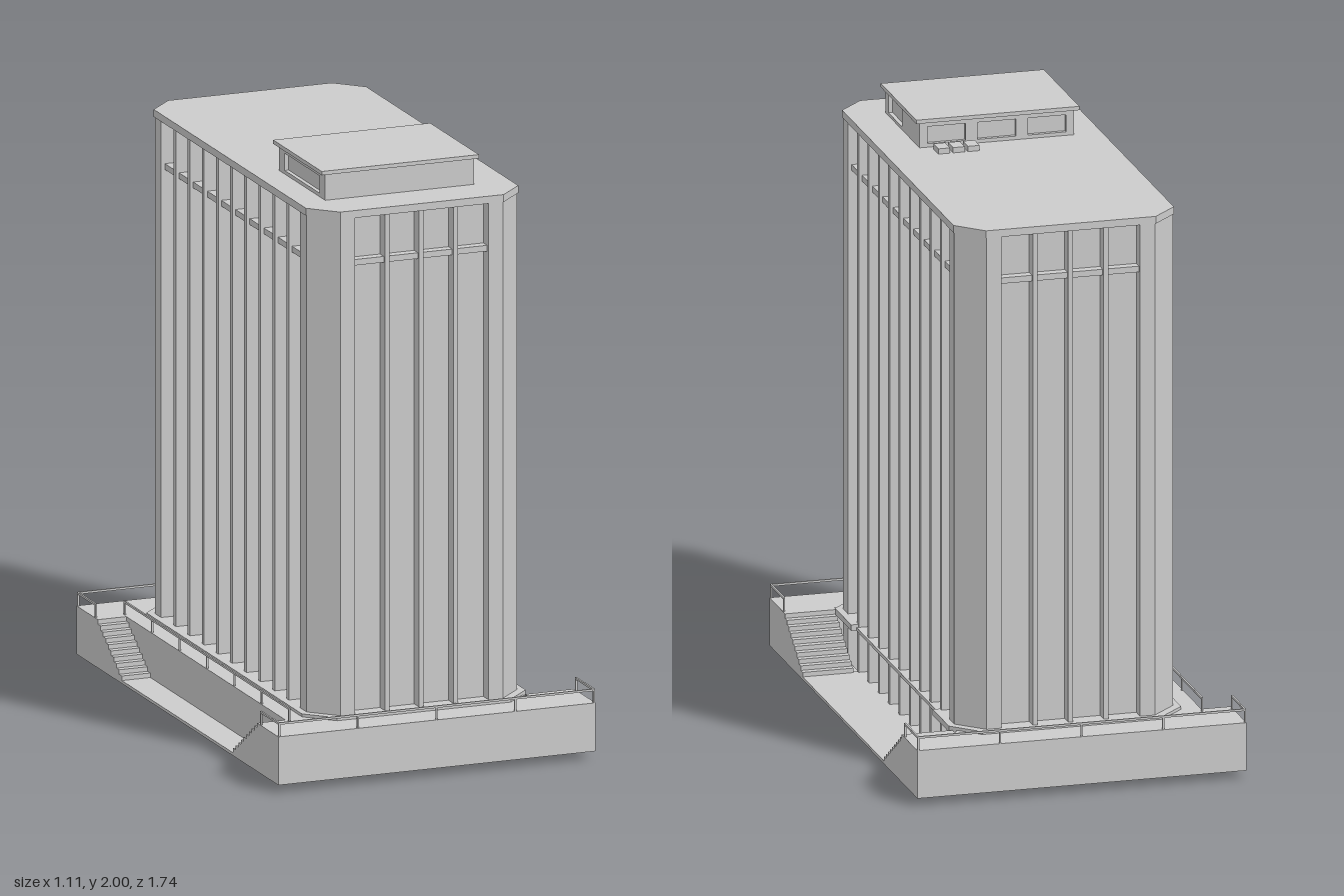
import * as THREE from 'three';

const material = new THREE.MeshStandardMaterial({ color: 0xcccccc, side: THREE.DoubleSide });

function add(parent, name, geometry) {
  const mesh = new THREE.Mesh(geometry, material);
  mesh.name = name;
  parent.add(mesh);
  return mesh;
}

// Box given by its low and high corners
function box(parent, name, [x0, y0, z0], [x1, y1, z1]) {
  const mesh = add(parent, name, new THREE.BoxGeometry(x1 - x0, y1 - y0, z1 - z0));
  mesh.position.set((x0 + x1) / 2, (y0 + y1) / 2, (z0 + z1) / 2);
  return mesh;
}

const outline = (pts, T = THREE.Shape) => new T(pts.map(([a, b]) => new THREE.Vector2(a, -b)));

// Horizontal slab from a plan outline of [x, z] points
function slab(parent, name, pts, y0, y1, hole) {
  const shape = outline(pts);
  if (hole) shape.holes.push(outline(hole, THREE.Path));
  const geo = new THREE.ExtrudeGeometry(shape, { depth: y1 - y0, bevelEnabled: false });
  geo.rotateX(-Math.PI / 2).translate(0, y0, 0);
  return add(parent, name, geo);
}

// Rectangle plan with cut corners
const octagon = (x, z, c) => [
  [x, -z + c], [x, z - c], [x - c, z], [-x + c, z],
  [-x, z - c], [-x, -z + c], [-x + c, -z], [x - c, -z],
];

function makeTower() {
  const g = new THREE.Group();
  g.name = 'tower';
  box(g, 'windowCore', [-0.325, 0.06, -0.695], [0.325, 1.88, 0.695]);
  // Chamfered corner piers
  for (const sx of [-1, 1]) for (const sz of [-1, 1]) {
    const pts = [[0.37, 0.6], [0.37, 0.655], [0.285, 0.74], [0.235, 0.74], [0.235, 0.68], [0.31, 0.6]];
    slab(g, 'cornerPier', pts.map(([x, z]) => [x * sx, z * sz]), 0, 1.88);
  }
  // Ribs run right through and form the grid seen underneath
  for (let i = -4; i <= 4; i++) {
    const z = i * 0.122;
    box(g, 'sideRib', [-0.368, 0, z - 0.01], [0.368, 1.88, z + 0.01]);
  }
  for (let i = -1; i <= 1; i++) {
    const x = i * 0.12;
    box(g, 'endRib', [x - 0.008, 0, -0.738], [x + 0.008, 1.88, 0.738]);
  }
  // Spandrel below the top row of windows
  box(g, 'sideSpandrel', [-0.357, 1.71, -0.6], [0.357, 1.73, 0.6]);
  box(g, 'endSpandrel', [-0.235, 1.71, -0.727], [0.235, 1.73, 0.727]);
  slab(g, 'roof', octagon(0.373, 0.743, 0.086), 1.875, 1.9);
  // Footing frame and plinth, the plinth being cut away at the left court
  slab(g, 'footing', octagon(0.385, 0.745, 0.088), 0, 0.025, octagon(0.355, 0.72, 0.085));
  slab(g, 'plinth', [
    [0.393, 0.48], [0.393, 0.672], [0.305, 0.76], [-0.305, 0.76], [-0.393, 0.672],
    [-0.393, -0.672], [-0.305, -0.76], [0.305, -0.76], [0.393, -0.672], [0.393, -0.48],
    [0.3, -0.48], [0.3, 0.48],
  ], 0.18, 0.2);
  box(g, 'courtBand', [0.31, 0.178, -0.48], [0.375, 0.19, 0.48]);
  return g;
}

// Wall panel with rectangular openings [x0, y0, x1, y1], turned to face outward
function panel(parent, w, h, openings, angle, x, z) {
  const shape = new THREE.Shape();
  shape.moveTo(-w / 2, 0).lineTo(w / 2, 0).lineTo(w / 2, h).lineTo(-w / 2, h).closePath();
  for (const [x0, y0, x1, y1] of openings) {
    const p = new THREE.Path();
    p.moveTo(x0, y0).lineTo(x0, y1).lineTo(x1, y1).lineTo(x1, y0).closePath();
    shape.holes.push(p);
  }
  const mesh = add(parent, 'penthouseWall', new THREE.ExtrudeGeometry(shape, { depth: 0.014, bevelEnabled: false }));
  mesh.rotation.y = angle;
  mesh.position.set(x, 1.9, z);
}

function makePenthouse() {
  const g = new THREE.Group();
  g.name = 'penthouse';
  const h = 0.087, q = Math.PI / 2;
  box(g, 'penthouseCore', [-0.264, 1.9, 0.204], [0.231, 1.987, 0.576]);
  panel(g, 0.523, h, [], 0, -0.0165, 0.576);
  panel(g, 0.523, h, [-0.17, 0, 0.17].map((c) => [c - 0.065, 0.012, c + 0.065, 0.07]), 2 * q, -0.0165, 0.204);
  panel(g, 0.372, h, [[-0.168, 0.01, -0.005, 0.07]], q, 0.231, 0.39);
  panel(g, 0.372, h, [[-0.15, 0.012, 0.15, 0.07]], -q, -0.264, 0.39);
  box(g, 'penthouseRoof', [-0.292, 1.987, 0.175], [0.26, 2, 0.595]);
  for (let i = 0; i < 3; i++) {
    const x = 0.085 + i * 0.05;
    box(g, 'roofUnit', [x - 0.02, 1.9, 0.107], [x + 0.02, 1.918, 0.167]);
  }
  return g;
}

// Solid flight of steps going down from |z| = 0.71 to 0.48
function stairs(parent, x0, x1, side) {
  const n = 10, top = 0.19, low = 0.037;
  const pts = [[0.71, 0.027], [0.71, top]];
  for (let i = 0; i < n; i++) {
    const z = 0.71 - (0.23 * (i + 1)) / n;
    pts.push([z, top - ((top - low) * i) / n], [z, top - ((top - low) * (i + 1)) / n]);
  }
  pts.push([0.48, 0.027]);
  const shape = new THREE.Shape(pts.map(([z, y]) => new THREE.Vector2(-z * side, y)));
  const geo = new THREE.ExtrudeGeometry(shape, { depth: x1 - x0, bevelEnabled: false });
  geo.rotateY(Math.PI / 2).translate(x0, 0, 0);
  add(parent, 'stairs', geo);
}

function makePodium() {
  const g = new THREE.Group();
  g.name = 'podium';
  const X = 0.557, Z = 0.872, t = 0.008, b = 0.027;
  // Deck with a notch for the sunken court on each side
  slab(g, 'deck', [
    [-X, -Z], [X, -Z], [X, -0.71], [0.38, -0.71], [0.36, -0.66], [-0.31, -0.66],
    [-0.31, 0.66], [0.36, 0.66], [0.38, 0.71], [X, 0.71], [X, Z], [-X, Z],
    [-X, 0.71], [-0.455, 0.71], [-0.455, -0.71], [-X, -0.71],
  ], 0.18, 0.19);
  for (const s of [-1, 1]) {
    const za = s > 0 ? Z - t : -Z, ca = s > 0 ? 0.71 : -Z, cb = s > 0 ? Z : -0.71;
    box(g, 'endWall', [-X, b, za], [X, 0.19, za + t]);
    box(g, 'leftCornerWall', [X - t, b, ca], [X, 0.19, cb]);
    box(g, 'rightCornerWall', [-X, b, ca], [-X + t, 0.19, cb]);
    stairs(g, 0.385, X, s);
    stairs(g, -X, -0.455, s);
  }
  box(g, 'retainingWall', [-0.457, b, -0.71], [-0.449, 0.19, 0.71]);
  box(g, 'leftCourtFloor', [0.34, b, -0.49], [X, 0.037, 0.49]);
  box(g, 'rightCourtFloor', [-X, b, -0.49], [-0.449, 0.037, 0.49]);
  return g;
}

// Straight railing with evenly spaced posts
function railing(parent, [x0, z0], [x1, z1], spans) {
  const r = 0.003;
  box(parent, 'handrail', [Math.min(x0, x1) - r, 0.23, Math.min(z0, z1) - r], [Math.max(x0, x1) + r, 0.237, Math.max(z0, z1) + r]);
  for (let i = 0; i <= spans; i++) {
    const x = x0 + ((x1 - x0) * i) / spans, z = z0 + ((z1 - z0) * i) / spans;
    box(parent, 'railPost', [x - r, 0.19, z - r], [x + r, 0.233, z + r]);
  }
}

function makeRailings() {
  const g = new THREE.Group();
  g.name = 'railings';
  for (const s of [-1, 1]) {
    railing(g, [-0.553, 0.868 * s], [0.553, 0.868 * s], 4);
    railing(g, [0.553, 0.715 * s], [0.553, 0.868 * s], 1);
    railing(g, [-0.553, 0.715 * s], [-0.553, 0.868 * s], 1);
  }
  railing(g, [-0.453, -0.71], [-0.453, 0.71], 6);
  return g;
}

export function createModel() {
  const model = new THREE.Group();
  model.name = 'officeTower';
  model.add(makeTower(), makePenthouse(), makePodium(), makeRailings());
  return model;
}
